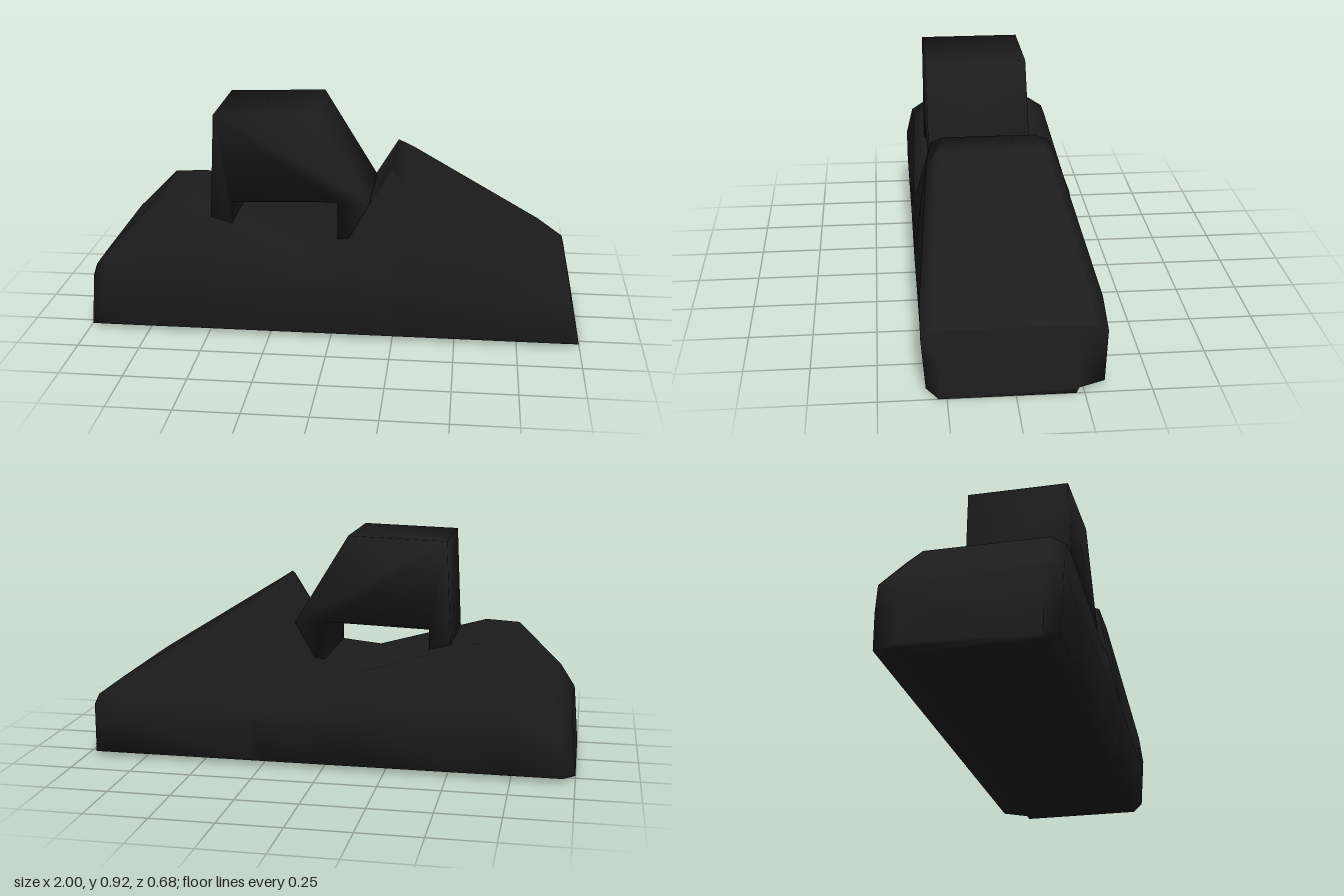
import * as THREE from 'three';
import { mergeVertices } from 'three/addons/utils/BufferGeometryUtils.js';

const material = new THREE.MeshStandardMaterial({ color: 0x1c1c1c });

// Half-widths of the body by height, as [y, z]
const FRONT = [[0, 0.28], [0.02, 0.325], [0.24, 0.342], [0.33, 0.338], [0.42, 0.32], [0.54, 0.31], [0.69, 0.27], [0.72, 0.22]];
const BACK = [[0, 0.22], [0.02, 0.33], [0.24, 0.34], [0.33, 0.33], [0.54, 0.275], [0.69, 0.2], [0.72, 0.15]];

function widthAt(table, y) {
  for (let i = 1; i < table.length; i++) {
    const [y0, w0] = table[i - 1], [y1, w1] = table[i];
    if (y <= y1) return w0 + (w1 - w0) * (y - y0) / (y1 - y0);
  }
  return table[table.length - 1][1];
}

// Stations along the body: [x at bottom, x at top, top height, shoulder drop, shoulder inset, end?]
const STATIONS = [
  [-1, -0.98, 0.25, 0.03, 0.04, true],
  [-0.955, -0.92, 0.33, 0.04, 0.05],
  [-0.74, -0.74, 0.515, 0.04, 0.06],
  [-0.6, -0.6, 0.523, 0.04, 0.06],
  [-0.14, -0.14, 0.392, 0.03, 0.06],
  [0.07, 0.07, 0.415, 0.03, 0.06],
  [0.24, 0.24, 0.712, 0.02, 0.05],
  [0.3, 0.3, 0.673, 0.05, 0.05],
  [0.84, 0.84, 0.335, 0.03, 0.05],
  [0.955, 0.95, 0.255, 0.03, 0.05],
  [1, 0.952, 0.25, 0.03, 0.04, true],
];

// Body lofted through closed cross-sections, capped at both ends
function bodyGeometry() {
  const pos = [], index = [], n = 10;
  for (const [xb, xt, top, drop, inset, end] of STATIONS) {
    const shoulder = top - drop;
    const mid = Math.min(0.24, shoulder * 0.6);
    const side = (table, limit) => {
      const w = (y) => Math.min(widthAt(table, y), end ? limit : 1);
      return [[0, w(0)], [0.02, w(0.02)], [mid, w(mid)], [shoulder, w(shoulder)], [top, w(shoulder) - inset]];
    };
    const ring = [
      ...side(FRONT, 0.28),
      ...side(BACK, 0.23).map(([y, z]) => [y, -z]).reverse(),
    ];
    for (const [y, z] of ring) pos.push(xb + (xt - xb) * y / top, y, z);
  }
  for (let i = 0; i < STATIONS.length - 1; i++) {
    for (let j = 0; j < n; j++) {
      const a = i * n + j, b = i * n + (j + 1) % n;
      index.push(a, a + n, b, b, a + n, b + n);
    }
  }
  const last = (STATIONS.length - 1) * n;
  for (let k = 1; k < n - 1; k++) {
    index.push(0, k, k + 1);
    index.push(last, last + k + 1, last + k);
  }
  const g = new THREE.BufferGeometry();
  g.setAttribute('position', new THREE.Float32BufferAttribute(pos, 3));
  g.setIndex(index);
  g.computeVertexNormals();
  return g;
}

// Raised arch: a sloped block with an opening running front to back
function archGeometry() {
  const outline = [
    [-0.49, 0.44], [-0.4, 0.41], [-0.4, 0.55], [0.025, 0.565], [0.025, 0.39],
    [0.06, 0.4], [0.15, 0.56], [-0.07, 0.92], [-0.467, 0.908],
  ];
  const shape = new THREE.Shape(outline.map(([x, y]) => new THREE.Vector2(x, y)));
  let g = new THREE.ExtrudeGeometry(shape, { depth: 0.41, bevelEnabled: false });
  g.translate(0, 0, -0.14);
  g.deleteAttribute('normal');
  g.deleteAttribute('uv');
  g = mergeVertices(g);
  g.computeVertexNormals();
  return g;
}

export function createModel() {
  const group = new THREE.Group();
  for (const [name, geometry] of [['body', bodyGeometry()], ['arch', archGeometry()]]) {
    const mesh = new THREE.Mesh(geometry, material);
    mesh.name = name;
    group.add(mesh);
  }
  return group;
}
